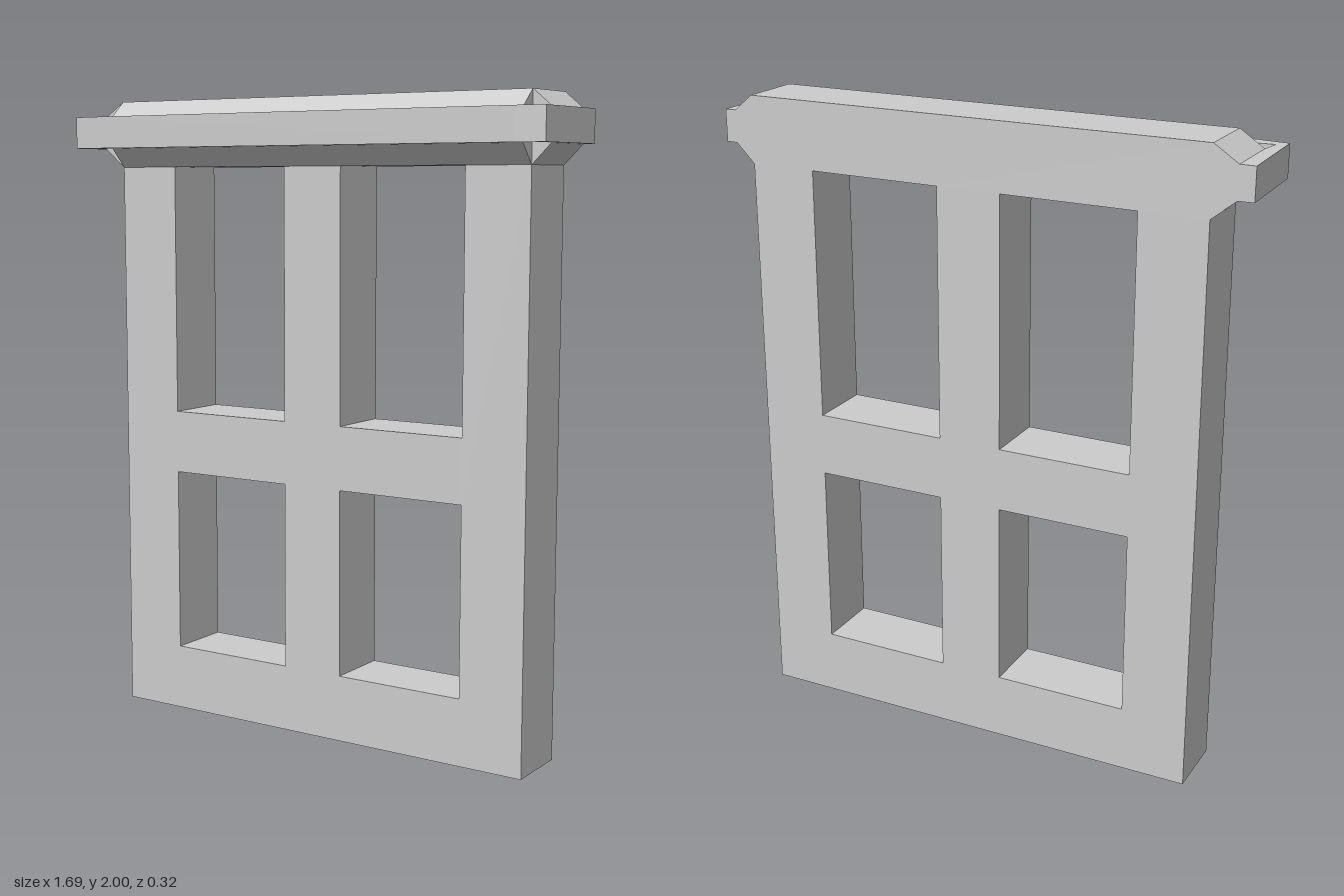
import * as THREE from 'three';

const LEFT = -0.725, RIGHT = 0.75, BACK = -0.16, FRONT = 0.05;

const material = new THREE.MeshStandardMaterial({ color: 0xcccccc, flatShading: true });

const toPoints = (pairs) => pairs.map(([a, b]) => new THREE.Vector2(a, b));

function extrude(shape, depth) {
  return new THREE.ExtrudeGeometry(shape, { depth, bevelEnabled: false });
}

function part(name, geometry) {
  const mesh = new THREE.Mesh(geometry, material);
  mesh.name = name;
  return mesh;
}

export function createModel() {
  const group = new THREE.Group();
  group.name = 'windowFrame';

  // Frame with sloped shoulders at the ends of the lintel and four openings
  const outline = new THREE.Shape(toPoints([
    [LEFT, 0], [RIGHT, 0], [RIGHT, 1.79], [0.81, 1.85], [0.81, 1.95],
    [RIGHT, 2], [LEFT, 2], [-0.8, 1.95], [-0.8, 1.85], [LEFT, 1.79],
  ]));
  for (const [x0, x1] of [[-0.515, -0.09], [0.115, 0.54]]) {
    for (const [y0, y1] of [[0.21, 0.8], [1.0, 1.79]]) {
      outline.holes.push(new THREE.Path(toPoints([[x0, y0], [x0, y1], [x1, y1], [x1, y0]])));
    }
  }
  const frame = extrude(outline, FRONT - BACK);
  frame.translate(0, 0, BACK);
  group.add(part('frame', frame));

  // Sloped moulding along the front of the lintel (section in z, y)
  const section = new THREE.Shape(toPoints([
    [FRONT, 1.79], [0.107, 1.85], [0.107, 1.95], [FRONT, 2],
  ]));
  const moulding = extrude(section, RIGHT - LEFT);
  moulding.rotateY(-Math.PI / 2);
  moulding.translate(RIGHT, 0, 0);
  group.add(part('frontMoulding', moulding));

  // Band wrapping the front and both ends, open at the inner corners (plan in x, z)
  const plan = new THREE.Shape(toPoints([
    [0.81, BACK], [0.845, BACK], [0.84, 0.149], [RIGHT, 0.16], [LEFT, 0.16],
    [-0.84, 0.149], [-0.848, BACK], [-0.8, BACK], [-0.8, FRONT], [-0.81, 0.115],
    [LEFT, 0.107], [RIGHT, 0.107], [0.82, 0.115], [0.81, FRONT],
  ]));
  const band = extrude(plan, 0.1);
  band.rotateX(Math.PI / 2);
  band.translate(0, 1.95, 0);
  group.add(part('lintelBand', band));

  return group;
}
